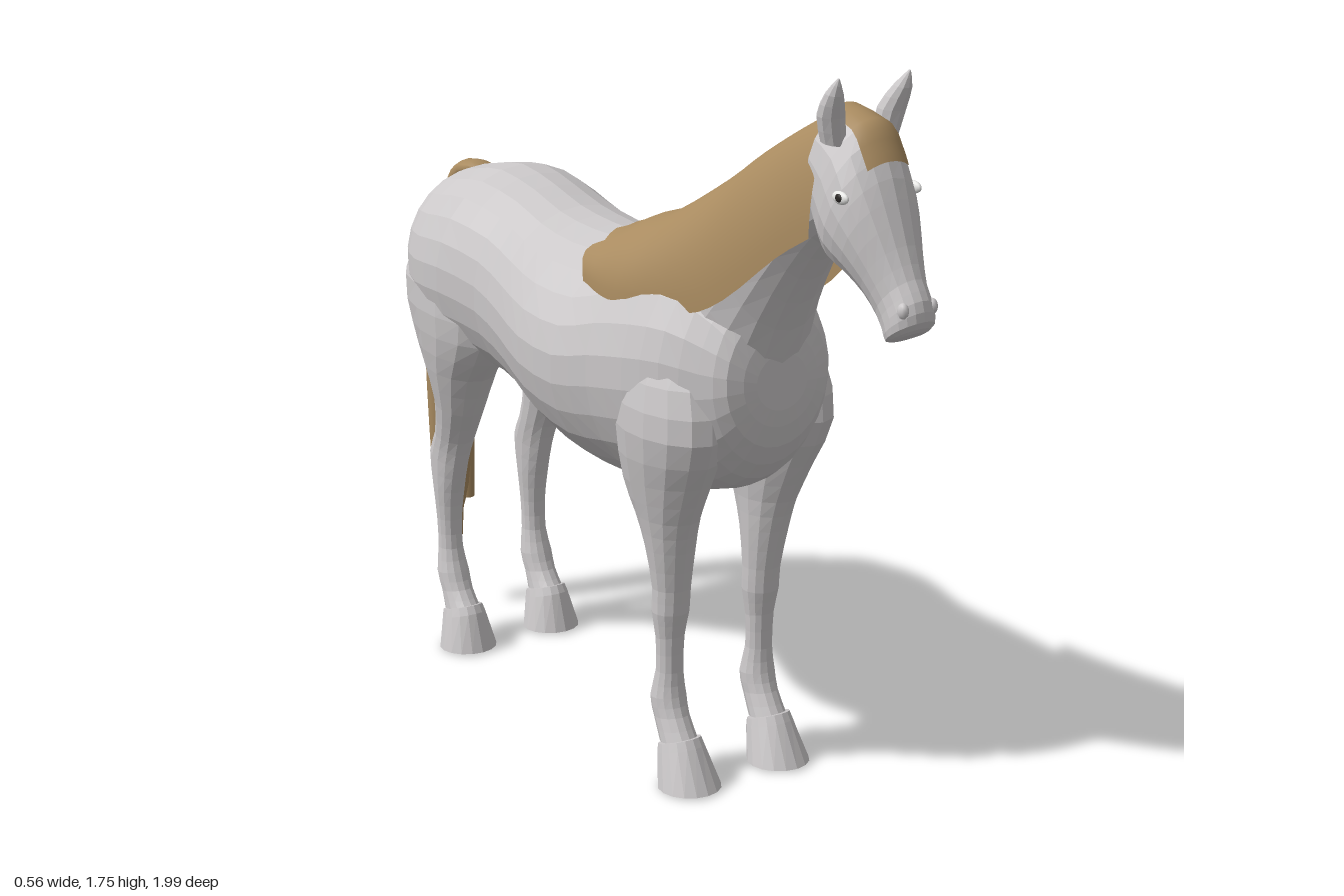
import * as THREE from 'three';

const coat = new THREE.MeshStandardMaterial({ color: 0xcbc8c9 });
const hair = new THREE.MeshStandardMaterial({ color: 0xa98b60, side: THREE.DoubleSide });
const eyeWhite = new THREE.MeshStandardMaterial({ color: 0xf4f4f2 });
const eyeDark = new THREE.MeshStandardMaterial({ color: 0x2a2624 });
coat.name = 'coat'; hair.name = 'hair'; eyeWhite.name = 'eyeWhite'; eyeDark.name = 'eyeDark';

// Smooth interpolation between ring parameters
function cubic(a, b, c, d, t) {
  const m0 = (c - a) / 2, m1 = (d - b) / 2, t2 = t * t, t3 = t2 * t;
  return (2 * t3 - 3 * t2 + 1) * b + (t3 - 2 * t2 + t) * m0 + (3 * t2 - 2 * t3) * c + (t3 - t2) * m1;
}

// Loft of elliptical rings: [zA, yA, zB, yB, halfWidth, xCentre, topTaper].
// A and B are opposite ends of the ring; arc < PI leaves an open shell around A.
function loft(rings, { sides = 16, steps = 2, flat = true, arc = Math.PI } = {}) {
  const full = rings.map(r => [r[0], r[1], r[2], r[3], r[4], r[5] ?? 0, r[6] ?? 1]);
  const at = i => full[Math.min(full.length - 1, Math.max(0, i))];
  const list = [];
  for (let i = 0; i < full.length - 1; i++)
    for (let s = 0; s < steps; s++)
      list.push(full[i].map((v, k) => cubic(at(i - 1)[k], v, at(i + 1)[k], at(i + 2)[k], s / steps)));
  list.push(full[full.length - 1]);

  const closed = arc >= Math.PI, n = closed ? sides : sides + 1;
  const pos = [], index = [];
  for (const [za, ya, zb, yb, w, xc, p] of list)
    for (let j = 0; j < n; j++) {
      const a = -arc + (2 * arc * j) / sides, c = Math.cos(a), s = Math.sin(a);
      const x = c > 0 ? Math.sign(s) * Math.abs(s) ** p : s;
      pos.push(xc + w * x, (ya + yb) / 2 + c * (ya - yb) / 2, (za + zb) / 2 + c * (za - zb) / 2);
    }
  for (let i = 0; i < list.length - 1; i++)
    for (let j = 0; j < sides; j++) {
      const k = (j + 1) % n, a = i * n + j, b = i * n + k;
      index.push(a, a + n, b, b, a + n, b + n);
    }
  // End caps
  if (closed) for (const [row, end] of [[0, false], [list.length - 1, true]]) {
    const [za, ya, zb, yb, , xc] = list[row], centre = pos.length / 3;
    pos.push(xc, (ya + yb) / 2, (za + zb) / 2);
    for (let j = 0; j < n; j++) {
      const a = row * n + j, b = row * n + (j + 1) % n;
      index.push(centre, end ? b : a, end ? a : b);
    }
  }
  let g = new THREE.BufferGeometry();
  g.setAttribute('position', new THREE.Float32BufferAttribute(pos, 3));
  g.setIndex(index);
  if (flat) g = g.toNonIndexed();
  g.computeVertexNormals();
  return g;
}

export function createModel() {
  const horse = new THREE.Group();
  horse.name = 'horse';
  const add = (name, geometry, material) => {
    const m = new THREE.Mesh(geometry, material);
    m.name = name;
    horse.add(m);
    return m;
  };

  // Torso, rump to breast
  add('torso', loft([
    [-.875, 1.12, -.865, .98, .07], [-.865, 1.2, -.85, .92, .14], [-.81, 1.265, -.8, .85, .21],
    [-.7, 1.295, -.7, .8, .25], [-.57, 1.315, -.57, .79, .26], [-.42, 1.29, -.42, .775, .24],
    [-.3, 1.26, -.28, .74, .25], [-.15, 1.245, -.15, .705, .28, 0, 1.1], [0, 1.25, 0, .675, .282, 0, 1.3],
    [.12, 1.295, .12, .675, .262, 0, 1.4], [.25, 1.325, .25, .69, .25, 0, 1.4],
    [.36, 1.32, .36, .72, .225, 0, 1.4], [.45, 1.26, .45, .77, .18, 0, 1.2],
    [.5, 1.18, .51, .86, .14], [.52, 1.08, .525, .95, .07],
  ], { sides: 26 }), coat);

  // Neck, withers to poll
  add('neck', loft([
    [.05, 1.28, .42, .85, .17], [.2, 1.335, .5, 1.0, .165], [.38, 1.445, .55, 1.14, .135],
    [.55, 1.555, .62, 1.27, .11], [.68, 1.62, .69, 1.36, .095], [.745, 1.655, .73, 1.385, .088],
  ], { sides: 20 }), coat);

  // Head, poll to lips
  add('head', loft([
    [.73, 1.665, .69, 1.42, .088], [.815, 1.645, .71, 1.365, .1], [.865, 1.58, .745, 1.335, .107],
    [.9, 1.5, .8, 1.315, .095], [.935, 1.41, .845, 1.285, .073], [.965, 1.345, .88, 1.245, .058],
    [.99, 1.305, .9, 1.215, .057], [.998, 1.262, .91, 1.2, .055], [.98, 1.235, .93, 1.207, .035],
  ], { sides: 18 }), coat);

  // Forelock lying on the forehead
  add('forelock', loft([
    [.73, 1.676, .69, 1.42, .095], [.82, 1.656, .71, 1.365, .108],
    [.853, 1.618, .728, 1.35, .111], [.878, 1.575, .75, 1.335, .11],
  ], { sides: 8, flat: false, arc: .52 }), hair);

  // Mane draped over both sides of the neck: z, crest, lower edge, half width
  const mane = loft([
    [.745, 1.67, 1.4, .107], [.65, 1.628, 1.34, .122], [.5, 1.545, 1.22, .148], [.38, 1.465, 1.165, .168],
    [.2, 1.36, 1.15, .203], [.1, 1.325, 1.152, .207], [.035, 1.295, 1.17, .205],
  ].reverse().map(([z, top, low, w]) => [z, top, z, 2 * low - top, w]),
  { sides: 24, steps: 3, flat: false, arc: Math.PI / 2 });
  const p = mane.attributes.position;
  for (let i = 0; i < p.count; i++)   // ragged rear edge
    if (p.getZ(i) < .04) p.setZ(i, p.getZ(i) - .045 * Math.abs(p.getX(i) * 5 * Math.sin(p.getX(i) * 45)));
  add('mane', mane, hair);

  // Tail with two shorter side locks
  add('tail', loft([
    [-.77, 1.255, -.765, 1.283, .035], [-.82, 1.235, -.845, 1.282, .045], [-.85, 1.18, -.915, 1.225, .046],
    [-.862, 1.05, -.968, 1.07, .046], [-.865, .88, -.99, .88, .046], [-.875, .6, -.992, .6, .044],
    [-.89, .36, -.988, .36, .036], [-.92, .29, -.982, .29, .03], [-.922, .21, -.978, .21, .026],
  ].map(r => [...r, r[1] < .5 ? -.012 : 0]), { sides: 12, flat: false }), hair);
  for (const [x, end, z] of [[-.055, .43, -.94], [.025, .32, -.93]])
    add('tailLock', loft([
      [z + .01, 1.17, z - .01, 1.17, .01, x * .4], [z + .03, .95, z - .035, .95, .025, x],
      [z + .03, .65, z - .04, .65, .025, x], [z + .02, end, z - .03, end, .018, x],
    ], { sides: 8, flat: false }), hair);

  // Leg profiles, top to coronet, then hooves
  const legs = {
    front: [
      [.36, 1.14, .22, 1.14, .03, .15], [.45, 1.0, .15, 1.0, .09, .15], [.475, .88, .14, .88, .1, .155],
      [.42, .76, .15, .74, .085, .145], [.37, .66, .19, .66, .068, .14], [.345, .58, .22, .58, .057, .135],
      [.325, .48, .235, .48, .046, .13], [.32, .42, .233, .42, .045, .13], [.308, .36, .242, .35, .035, .13],
      [.305, .27, .242, .27, .033, .13], [.312, .21, .225, .2, .042, .13], [.328, .165, .237, .15, .04, .13],
      [.36, .115, .265, .095, .043, .13],
    ],
    hind: [
      [-.5, 1.13, -.78, 1.15, .06, .15], [-.43, 1.0, -.865, 1.02, .1, .15], [-.46, .88, -.83, .9, .102, .145],
      [-.555, .77, -.78, .8, .087, .14], [-.615, .66, -.755, .69, .063, .135], [-.665, .57, -.78, .59, .05, .13],
      [-.69, .5, -.818, .53, .045, .13], [-.715, .42, -.805, .43, .04, .13], [-.727, .34, -.795, .34, .033, .13],
      [-.725, .26, -.79, .26, .033, .13], [-.705, .2, -.79, .19, .042, .13], [-.685, .155, -.77, .14, .04, .13],
      [-.65, .115, -.755, .095, .043, .13],
    ],
  };
  const hooves = {
    front: [[.37, .125, .262, .085, .05, .13], [.382, .105, .262, .065, .055, .13], [.435, .006, .28, 0, .075, .13]],
    hind: [[-.642, .125, -.76, .085, .05, .13], [-.63, .105, -.76, .065, .055, .13], [-.598, .006, -.752, 0, .075, .13]],
  };
  const ear = [
    [.742, 1.61, .8, 1.6, .027, .068], [.748, 1.665, .808, 1.66, .032, .08],
    [.782, 1.715, .82, 1.708, .02, .09], [.815, 1.746, .82, 1.744, .002, .093],
  ];

  for (const [side, s] of [['Left', 1], ['Right', -1]]) {
    const flip = rings => rings.map(r => [...r.slice(0, 5), r[5] * s]);
    for (const end of ['front', 'hind']) {
      add(end + side + 'Leg', loft(flip(legs[end]), { sides: 14 }), coat);
      add(end + side + 'Hoof', loft(flip(hooves[end]), { sides: 16, steps: 1 }), coat);
    }
    add('ear' + side, loft(flip(ear), { sides: 10 }), coat);

    // Eye: white almond with a dark pupil
    const eye = add('eye' + side, new THREE.SphereGeometry(1, 16, 10), eyeWhite);
    eye.scale.set(.009, .014, .026);
    eye.position.set(s * .096, 1.503, .835);
    const pupil = add('pupil' + side, new THREE.SphereGeometry(1, 12, 8), eyeDark);
    pupil.scale.set(.004, .009, .01);
    pupil.position.set(s * .1035, 1.504, .838);

    // Nostril
    const nostril = add('nostril' + side, new THREE.SphereGeometry(1, 10, 8), coat);
    nostril.scale.set(.012, .018, .014);
    nostril.position.set(s * .038, 1.285, .975);
  }
  return horse;
}
